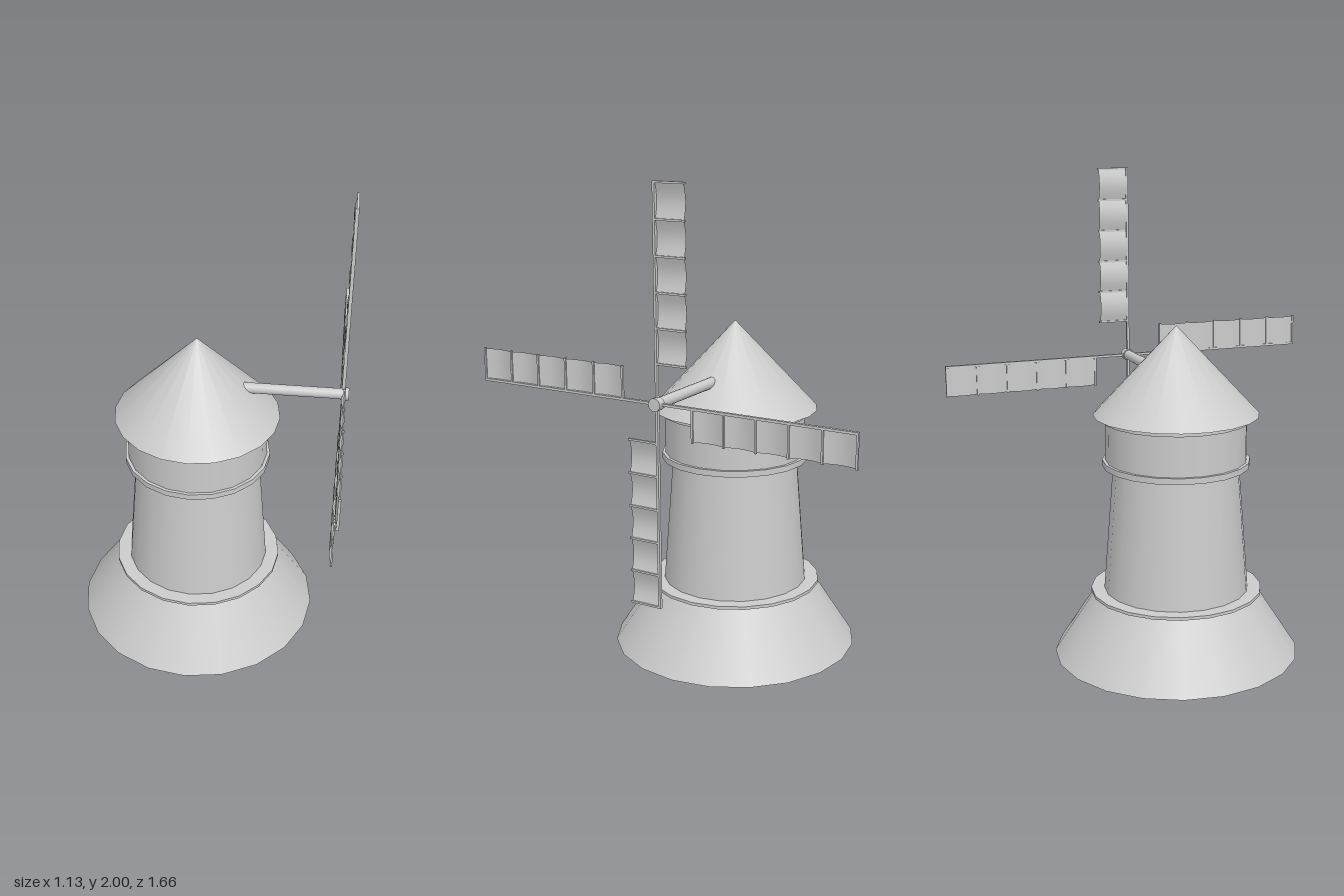
import * as THREE from 'three';

const material = new THREE.MeshStandardMaterial({ color: 0xcccccc });
const clothMaterial = new THREE.MeshStandardMaterial({ color: 0xcccccc, side: THREE.DoubleSide });

function add(parent, name, geometry, x = 0, y = 0, z = 0, mat = material) {
  const mesh = new THREE.Mesh(geometry, mat);
  mesh.name = name;
  mesh.position.set(x, y, z);
  parent.add(mesh);
  return mesh;
}

// One arm, pointing up, with its sail on the -z side
function createArm() {
  const arm = new THREE.Group();
  const start = 0.155, end = 0.824, width = 0.128, panels = 5;
  const step = (end - start) / panels;
  add(arm, 'spar', new THREE.BoxGeometry(0.014, 0.828, 0.01), 0, 0.414, 0);

  // Crossbars
  for (let i = 0; i <= panels; i++) {
    add(arm, 'crossbar', new THREE.BoxGeometry(0.01, 0.008, width + 0.004), 0.002, start + i * step, -width / 2 - 0.002);
  }

  // Cloth panels sagging backward between the crossbars
  for (let i = 0; i < panels; i++) {
    const cloth = new THREE.PlaneGeometry(width, step, 1, 8);
    cloth.rotateY(Math.PI / 2);
    const p = cloth.attributes.position;
    for (let k = 0; k < p.count; k++) {
      p.setX(k, 0.003 - 0.013 * Math.cos((p.getY(k) / step) * Math.PI));
    }
    cloth.computeVertexNormals();
    add(arm, 'sailCloth', cloth, 0, start + (i + 0.5) * step, -width / 2, clothMaterial);
  }
  return arm;
}

export function createModel() {
  const model = new THREE.Group();
  model.name = 'windmill';

  // Tower sections: name, bottom radius, top radius, bottom y, top y
  const tower = new THREE.Group();
  tower.name = 'tower';
  tower.position.x = -0.053;
  model.add(tower);
  const sections = [
    ['base', 0.516, 0.341, 0, 0.27],
    ['baseLedge', 0.36, 0.36, 0.268, 0.281],
    ['towerWall', 0.304, 0.262, 0.28, 0.82],
    ['lowerBand', 0.307, 0.307, 0.815, 0.84],
    ['drum', 0.294, 0.294, 0.84, 1.01],
    ['upperBand', 0.307, 0.307, 1.008, 1.03],
    ['roof', 0.344, 0, 1.03, 1.397],
  ];
  for (const [name, bottom, top, y0, y1] of sections) {
    add(tower, name, new THREE.CylinderGeometry(top, bottom, y1 - y0, 20), 0, (y0 + y1) / 2);
  }

  // Shaft and hub
  const axisY = 1.172;
  add(model, 'shaft', new THREE.CylinderGeometry(0.022, 0.022, 0.53, 16), 0.28, axisY).rotation.z = Math.PI / 2;
  add(model, 'hub', new THREE.CylinderGeometry(0.026, 0.026, 0.035, 16), 0.546, axisY).rotation.z = Math.PI / 2;

  // Four arms around the shaft
  const rotor = new THREE.Group();
  rotor.name = 'rotor';
  rotor.position.set(0.541, axisY, 0);
  for (let i = 0; i < 4; i++) {
    const arm = createArm();
    arm.name = 'arm' + (i + 1);
    arm.rotation.x = (-i * Math.PI) / 2;
    rotor.add(arm);
  }
  model.add(rotor);
  return model;
}
